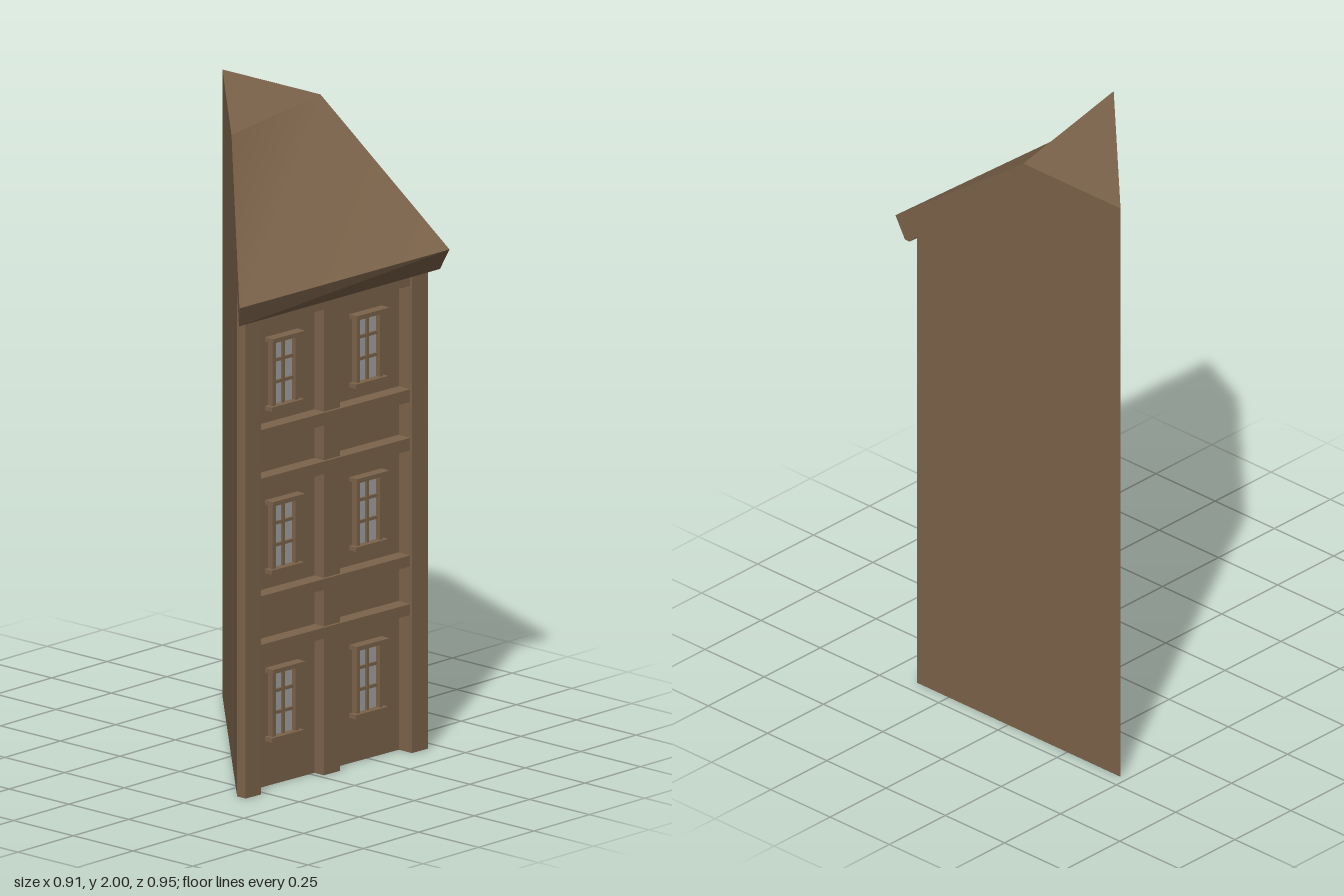
import * as THREE from 'three';

export function createModel() {
  const model = new THREE.Group();
  const brown = new THREE.MeshStandardMaterial({ color: 0x7d644b });
  brown.name = 'brown';
  const grey = new THREE.MeshStandardMaterial({ color: 0xa3a3a3 });
  grey.name = 'glass grey';

  const addMesh = (parent, name, geometry, material = brown) => {
    const mesh = new THREE.Mesh(geometry, material);
    mesh.name = name;
    parent.add(mesh);
    return mesh;
  };
  // Box given by its x, y and z ranges
  const addBox = (parent, name, x0, x1, y0, y1, z0, z1, material) =>
    addMesh(parent, name, new THREE.BoxGeometry(x1 - x0, y1 - y0, z1 - z0), material)
      .position.set((x0 + x1) / 2, (y0 + y1) / 2, (z0 + z1) / 2);

  // Triangular walls with a pilaster at each front corner
  const plan = [[0.455, -0.475], [0.455, 0.385], [0.385, 0.383], [0.385, 0.328],
    [-0.27, 0.303], [-0.27, 0.358], [-0.335, 0.355], [-0.335, 0.319]];
  const wallTop = 1.62;
  const shape = new THREE.Shape(plan.map(([x, z]) => new THREE.Vector2(x, -z)));
  const walls = new THREE.ExtrudeGeometry(shape, { depth: wallTop, bevelEnabled: false });
  addMesh(model, 'walls', walls.rotateX(-Math.PI / 2));

  // Roof cross-sections at the right and left ends: ridge, eave, soffit, wall
  const R = [[0.455, 2, -0.065], [0.455, 1.61, 0.475], [0.455, 1.54, 0.435],
    [0.455, 1.54, 0.415], [0.455, wallTop, 0.33]];
  const L = [[-0.065, 2, 0.045], [-0.455, 1.605, 0.44], [-0.435, 1.54, 0.42],
    [-0.42, 1.54, 0.405], [-0.317, wallTop, 0.301]];
  const cornerTop = [0.455, 2, -0.475], cornerLow = [0.455, wallTop, -0.475];

  const tris = [cornerTop, L[0], R[0]];
  for (let i = 1; i < 4; i++) {
    tris.push(R[i], L[i], L[i + 1], R[i], L[i + 1], R[i + 1]);
  }
  const rightSide = [cornerLow, cornerTop, ...R.slice(0, 4)];
  const leftSide = [cornerLow, cornerTop, ...L.slice(0, 4)];
  for (let i = 0; i < 5; i++) {
    tris.push(R[4], rightSide[i], rightSide[i + 1]);
    tris.push(L[4], leftSide[i + 1], leftSide[i]);
  }
  const roof = new THREE.BufferGeometry();
  roof.setAttribute('position', new THREE.Float32BufferAttribute(tris.flat(), 3));
  roof.computeVertexNormals();
  addMesh(model, 'roofBody', roof);

  // Gently twisted front slope with shared normals
  const slope = new THREE.BufferGeometry();
  slope.setAttribute('position',
    new THREE.Float32BufferAttribute([R[0], L[0], L[1], R[1]].flat(), 3));
  slope.setIndex([0, 1, 2, 0, 2, 3]);
  slope.computeVertexNormals();
  addMesh(model, 'roofSlope', slope);

  // Facade details; z = 0 is the wall face
  const facade = new THREE.Group();
  facade.name = 'facade';
  facade.position.set(0, 0, 0.313);
  facade.rotation.y = -0.038;
  model.add(facade);

  addBox(facade, 'middlePilaster', 0.02, 0.09, 0, 1.6, -0.01, 0.04);
  for (const [y0, y1] of [[0.44, 0.475], [0.595, 0.63], [0.965, 1.005], [1.12, 1.16], [1.49, 1.525]]) {
    addBox(facade, 'band', -0.27, 0.385, y0, y1, -0.01, 0.05);
  }

  // Windows: two on each of three floors
  for (const y of [0.15, 0.685, 1.205]) {
    for (const x of [-0.125, 0.24]) {
      const win = new THREE.Group();
      win.name = 'window';
      win.position.set(x, y, 0);
      facade.add(win);
      addBox(win, 'glass', -0.047, 0.047, 0.005, 0.22, -0.002, 0.004, grey);
      addBox(win, 'sill', -0.07, 0.07, -0.005, 0.009, -0.005, 0.03);
      addBox(win, 'lintel', -0.07, 0.07, 0.214, 0.228, -0.005, 0.035);
      for (const s of [-1, 1]) {
        addBox(win, 'jamb', s * 0.05 - 0.007, s * 0.05 + 0.007, 0.005, 0.217, -0.005, 0.02);
      }
      addBox(win, 'mullion', -0.005, 0.005, 0.005, 0.217, -0.002, 0.012);
      for (const bar of [0.08, 0.15]) {
        addBox(win, 'glazingBar', -0.045, 0.045, bar - 0.005, bar + 0.005, -0.002, 0.011);
      }
    }
  }
  return model;
}
